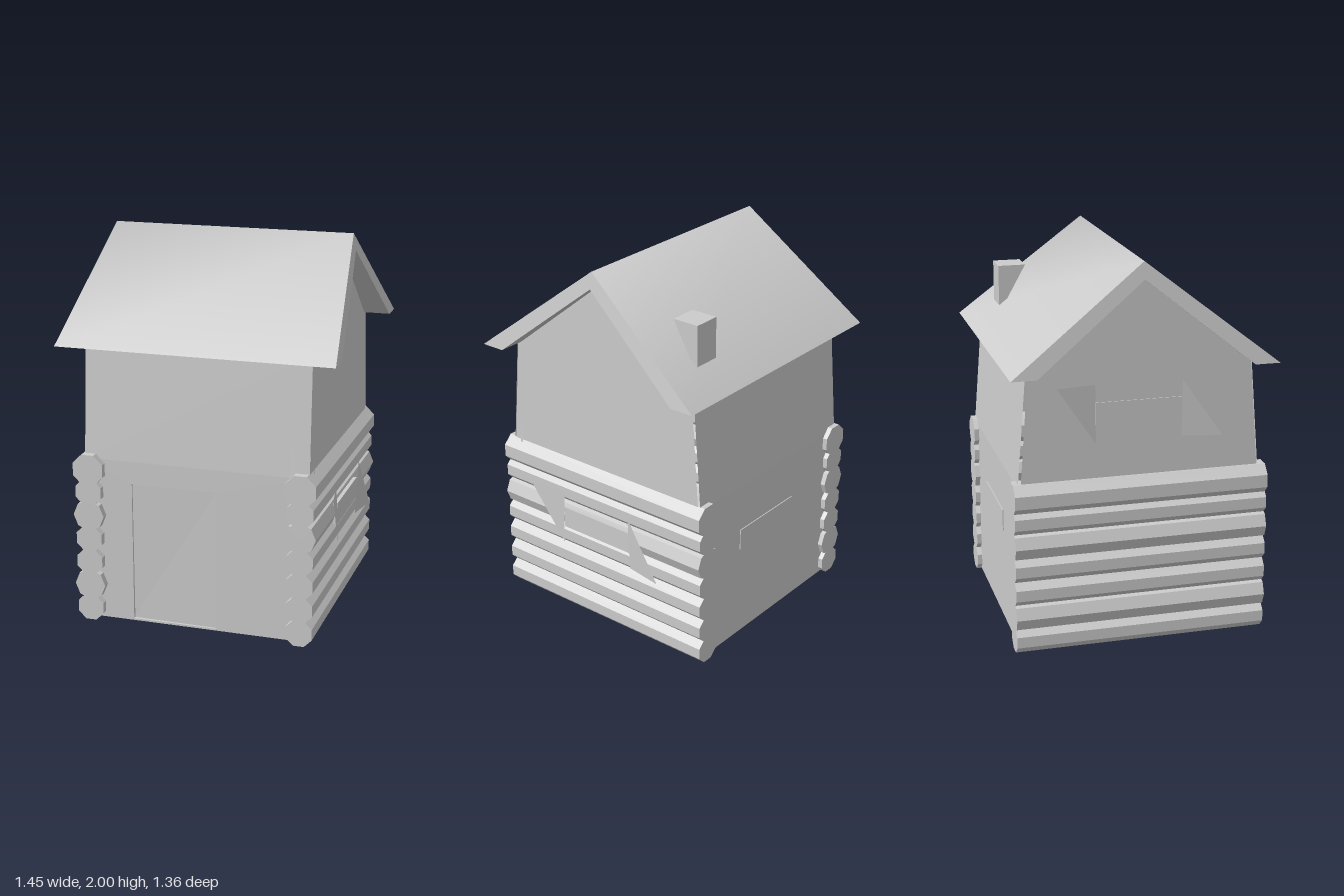
import * as THREE from 'three';
import { toCreasedNormals } from 'three/addons/utils/BufferGeometryUtils.js';

const solid = new THREE.MeshStandardMaterial({ color: 0xcccccc });
const flat = new THREE.MeshStandardMaterial({ color: 0xcccccc, flatShading: true });
const sheet = new THREE.MeshStandardMaterial({ color: 0xcccccc, flatShading: true, side: THREE.DoubleSide });

function add(parent, name, geometry, material) {
  const mesh = new THREE.Mesh(geometry, material);
  mesh.name = name;
  parent.add(mesh);
  return mesh;
}

// Thin convex panel through a few corner points
function panel(points) {
  const g = new THREE.BufferGeometry();
  g.setAttribute('position', new THREE.Float32BufferAttribute(points.flat(), 3));
  const index = [];
  for (let i = 1; i < points.length - 1; i++) index.push(0, i, i + 1);
  g.setIndex(index);
  g.computeVertexNormals();
  return g;
}

const shape = (pts) => new THREE.Shape(pts.map(([a, b]) => new THREE.Vector2(a, b)));

// Profile given as (z, y), extruded along x between x0 and x1
function extrudeX(pts, x0, x1) {
  const g = new THREE.ExtrudeGeometry(shape(pts), { depth: x1 - x0, bevelEnabled: false });
  return g.rotateY(-Math.PI / 2).translate(x1, 0, 0);
}

// Window slot with two triangular shutters, facing +x
function sideWindow(name, slotX) {
  const w = new THREE.Group();
  w.name = name;
  add(w, 'windowSlot', new THREE.BoxGeometry(0.02, 0.115, 0.445).translate(slotX - 0.01, 0, 0.01), flat);
  add(w, 'frontShutter', panel([[0.668, 0.15, 0.435], [0.635, 0.15, 0.235], [0.645, -0.15, 0.235]]), sheet);
  add(w, 'backShutter', panel([[0.65, 0.15, -0.21], [0.635, -0.15, -0.21], [0.67, -0.15, -0.415]]), sheet);
  return w;
}

export function createModel() {
  const cabin = new THREE.Group();
  cabin.name = 'logCabin';

  // Stacked eight-sided logs on both sides, some turned corner-out
  for (const side of [-1, 1]) {
    const stack = new THREE.Group();
    stack.name = side > 0 ? 'leftLogWall' : 'rightLogWall';
    for (let i = 0; i < 7; i++) {
      const top = i === 6;
      const turned = i === 4 || (i === 1 && side < 0);
      const radius = top ? 0.087 : turned ? 0.083 : 0.075;
      const g = new THREE.CylinderGeometry(radius, radius, 1.315, 8);
      if (!turned) g.rotateY(Math.PI / 8);
      g.rotateX(Math.PI / 2);
      const log = add(stack, 'log', g, flat);
      log.position.set(side > 0 ? 0.553 : -0.572, top ? 0.825 : 0.07 + i * 0.127, 0.002);
    }
    cabin.add(stack);
  }

  // Lower front wall with the doorway cut out
  const front = shape([[-0.58, 0.01], [0.56, 0.01], [0.56, 0.88], [-0.58, 0.88]]);
  front.holes.push(new THREE.Path([[-0.345, 0.02], [-0.345, 0.762], [0.105, 0.762], [0.105, 0.02]]
    .map(([a, b]) => new THREE.Vector2(a, b))));
  add(cabin, 'lowerFrontWall',
    new THREE.ExtrudeGeometry(front, { depth: 0.02, bevelEnabled: false }).translate(0, 0, 0.602), flat);
  add(cabin, 'door', panel([[-0.347, 0.018, 0.606], [0.107, 0.018, 0.612],
    [0.107, 0.764, 0.606], [-0.347, 0.764, 0.612]]), sheet);

  // Lower back wall and its window slot
  add(cabin, 'lowerBackWall', panel([[-0.58, 0.01, -0.63], [-0.58, 0.88, -0.63],
    [0.56, 0.88, -0.63], [0.56, 0.01, -0.63]]), sheet);
  add(cabin, 'backWindowSlot', new THREE.BoxGeometry(0.46, 0.115, 0.01).translate(0.025, 0.57, -0.63), flat);

  // Upper walls lean inward towards the eaves
  for (const [name, z0, z1] of [['upperFrontWall', 0.622, 0.572], ['upperBackWall', -0.63, -0.58]]) {
    add(cabin, name, panel([[-0.598, 0.88, z0], [0.59, 0.88, z0], [0.585, 1.5, z1], [-0.597, 1.5, z1]]), sheet);
  }

  // Gable ends
  for (const [name, x0, x1] of [['leftGable', 0.59, 0.585], ['rightGable', -0.598, -0.597]]) {
    add(cabin, name, panel([[x0, 0.82, 0.622], [x0, 0.82, -0.62], [x1, 1.48, -0.57],
      [x1, 1.92, 0], [x1, 1.48, 0.57]]), sheet);
  }

  // Thin splinters beside the left front corner
  add(cabin, 'frontSplinter', panel([[0.492, 0.88, 0.63], [0.52, 0.88, 0.63], [0.502, 1.09, 0.612]]), sheet);
  add(cabin, 'sideSplinter', panel([[0.6, 0.88, 0.575], [0.6, 0.88, 0.555], [0.592, 0.99, 0.565]]), sheet);

  // Shuttered windows: low on the left, high on the right gable
  const leftWindow = sideWindow('leftWindow', 0.64);
  leftWindow.position.y = 0.57;
  const rightWindow = sideWindow('rightWindow', 0.635);
  rightWindow.rotation.y = Math.PI;
  rightWindow.position.set(0.033, 1.24, 0);
  cabin.add(leftWindow, rightWindow);

  // Roof: chevron section, shorter at the ridge than at the eaves
  const roof = extrudeX([[0.68, 1.47], [0, 2], [-0.68, 1.47], [-0.55, 1.47], [0, 1.913], [0.55, 1.47]], -1, 1);
  const p = roof.attributes.position;
  for (let i = 0; i < p.count; i++) {
    p.setX(i, p.getX(i) * (0.642 + 0.083 * (2 - p.getY(i)) / 0.53));
  }
  add(cabin, 'roof', toCreasedNormals(roof, 1.4), solid);

  // Chimney tapering into the back slope
  add(cabin, 'chimney', extrudeX([[-0.38, 1.805], [-0.525, 1.805], [-0.525, 1.57], [-0.5, 1.59]], 0.34, 0.487), flat);

  return cabin;
}
